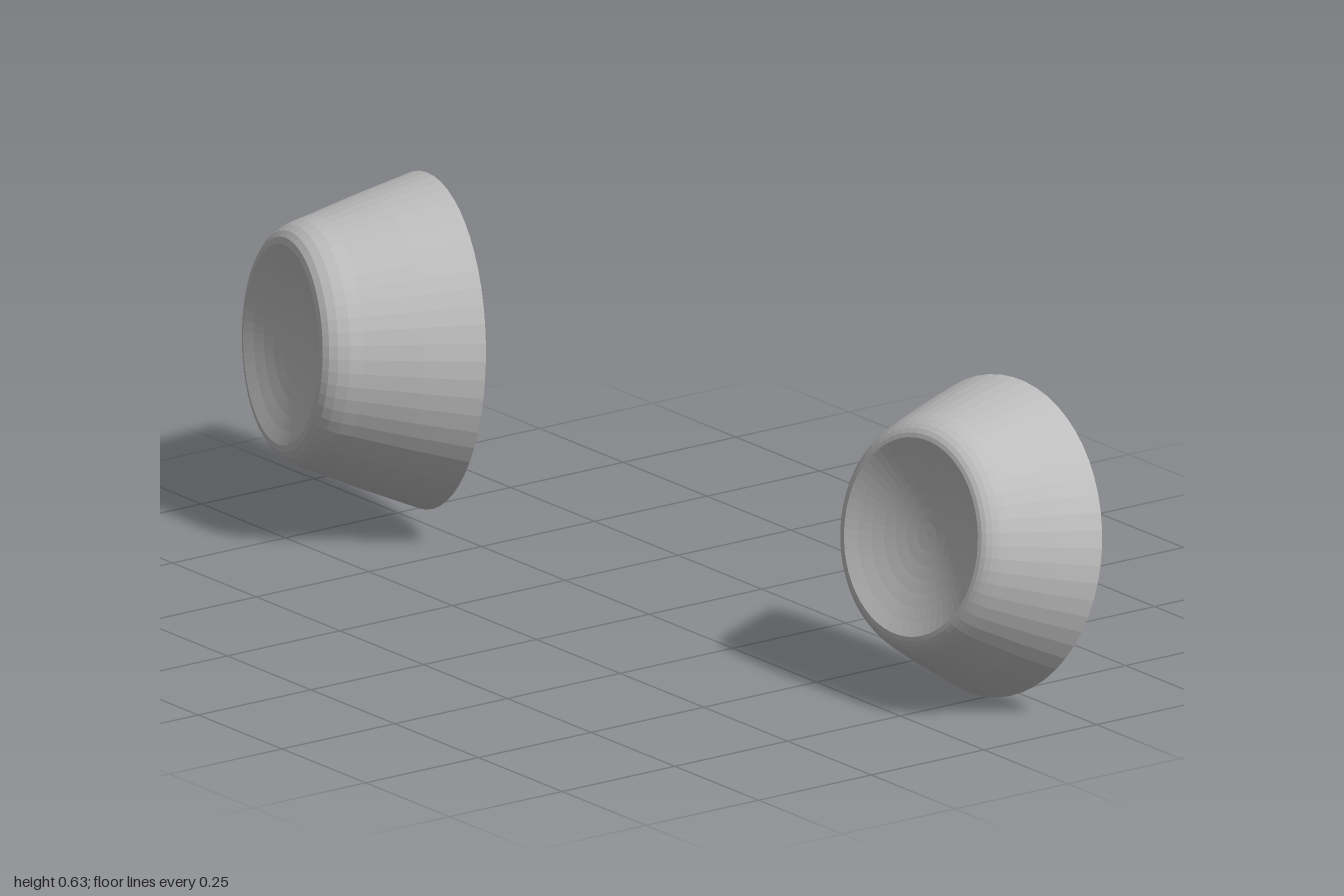
import * as THREE from 'three';

const SEGMENTS = 56;

// Open tapered shell turned around its axis: rim at height 0, rounded lip, dished base
function makeCup(name, material, { rim, wall, lip, dishDepth, centre, axis }) {
  const points = [new THREE.Vector2(rim, 0), new THREE.Vector2((rim + wall[0]) / 2, wall[1] / 2 + 0.004)];
  points.push(new THREE.Vector2(...wall));

  // rounded shoulder from the wall over to the lip
  const shoulder = new THREE.QuadraticBezierCurve(
    new THREE.Vector2(...wall),
    new THREE.Vector2(wall[0] - 0.018, lip[1]),
    new THREE.Vector2(...lip)
  );
  points.push(...shoulder.getPoints(5).slice(1));

  // shallow dish inside the lip
  const steps = 7;
  for (let i = 1; i <= steps; i++) {
    const t = 1 - i / steps;
    points.push(new THREE.Vector2(lip[0] * t, lip[1] - dishDepth * (1 - t * t)));
  }

  const cup = new THREE.Mesh(new THREE.LatheGeometry(points, SEGMENTS), material);
  cup.name = name;
  cup.position.set(...centre);
  cup.quaternion.setFromUnitVectors(new THREE.Vector3(0, 1, 0), new THREE.Vector3(...axis).normalize());
  return cup;
}

export function createModel() {
  const group = new THREE.Group();
  group.name = 'cupPair';
  const grey = new THREE.MeshStandardMaterial({ color: 0xbfbfbf, side: THREE.DoubleSide, flatShading: true });
  grey.name = 'plain grey';

  // deeper cup on the model's right
  group.add(makeCup('rightCup', grey, {
    rim: 0.302, wall: [0.23, 0.205], lip: [0.18, 0.272], dishDepth: 0.04,
    centre: [-0.71, 0.329, -0.025], axis: [-0.26, 0.085, 0.96],
  }));

  // shallower cup on the model's left
  group.add(makeCup('leftCup', grey, {
    rim: 0.288, wall: [0.217, 0.162], lip: [0.178, 0.199], dishDepth: 0.04,
    centre: [0.712, 0.284, -0.236], axis: [0.073, 0.19, 0.979],
  }));

  return group;
}
